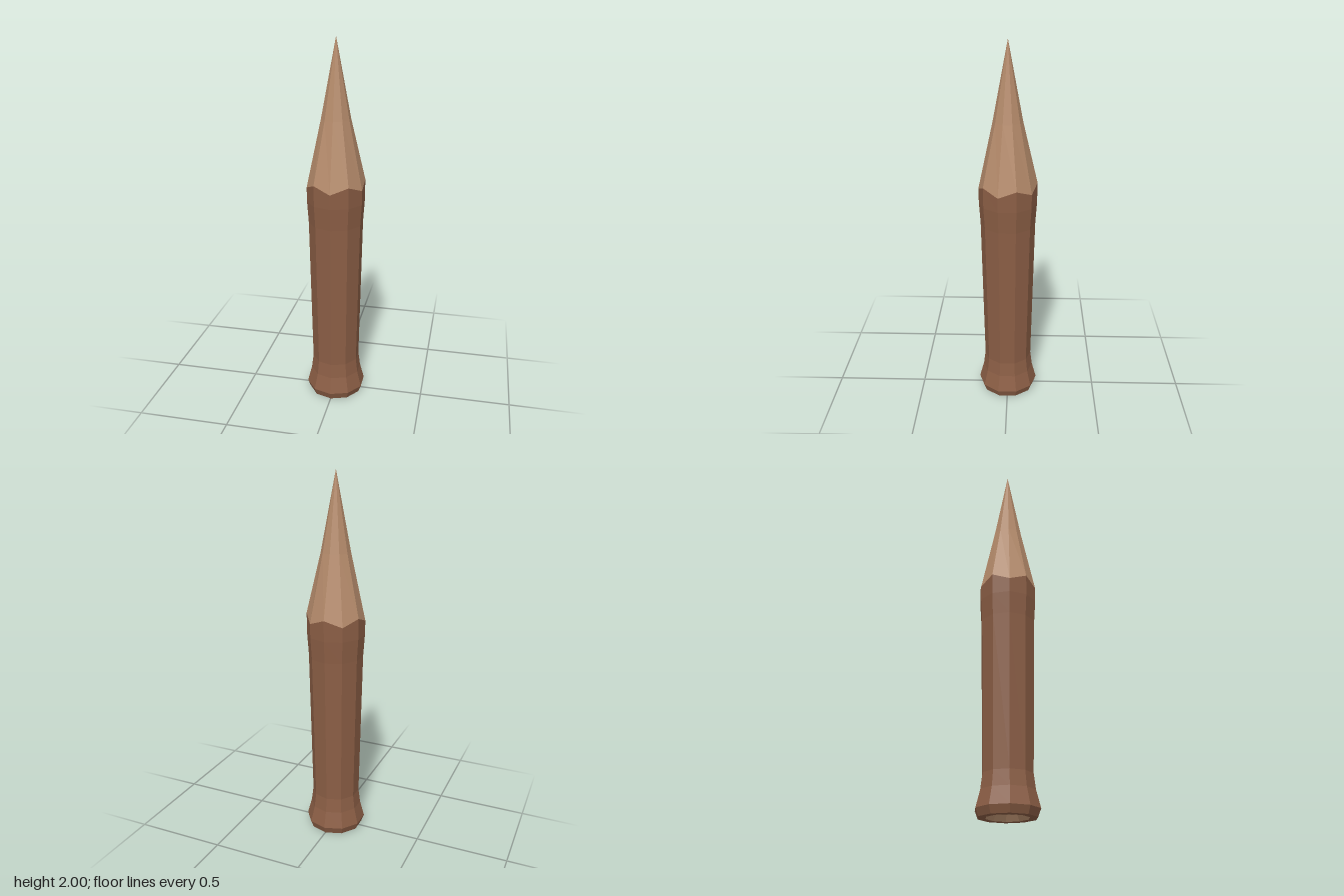
import * as THREE from 'three';

const SIDES = 10;

// Faceted lathe; the ring at index zigzag has every other corner raised.
function facetedPart(name, profile, zigzag, color) {
  const points = profile.map(([r, y]) => new THREE.Vector2(r, y));
  const geometry = new THREE.LatheGeometry(points, SIDES);
  const position = geometry.attributes.position;
  for (let i = 0; i <= SIDES; i++) {
    const index = i * points.length + zigzag;
    if (zigzag >= 0 && i % 2 === 1) position.setY(index, position.getY(index) + 0.035);
  }
  geometry.computeVertexNormals();
  const material = new THREE.MeshStandardMaterial({ color, flatShading: true });
  const mesh = new THREE.Mesh(geometry, material);
  mesh.name = name;
  return mesh;
}

export function createModel() {
  const model = new THREE.Group();
  model.name = 'woodenStake';
  const bark = 0x8b5e45;
  const wood = 0xb58b6b;

  // Shaft: rim, flared foot, slightly widening body and shoulder
  model.add(facetedPart('shaft', [
    [0.11, 0], [0.15, 0], [0.165, 0.04], [0.141, 0.13], [0.131, 0.21],
    [0.147, 1.03], [0.155, 1.15], [0.156, 1.228],
  ], 7, bark));

  // Carved point, slightly hollowed towards the tip
  model.add(facetedPart('point', [[0.156, 1.228], [0.078, 1.59], [0, 2]], 0, wood));

  // Shallow recess in the foot
  model.add(facetedPart('footRecess', [[0, 0.03], [0.09, 0.03], [0.11, 0]], -1, wood));

  return model;
}
